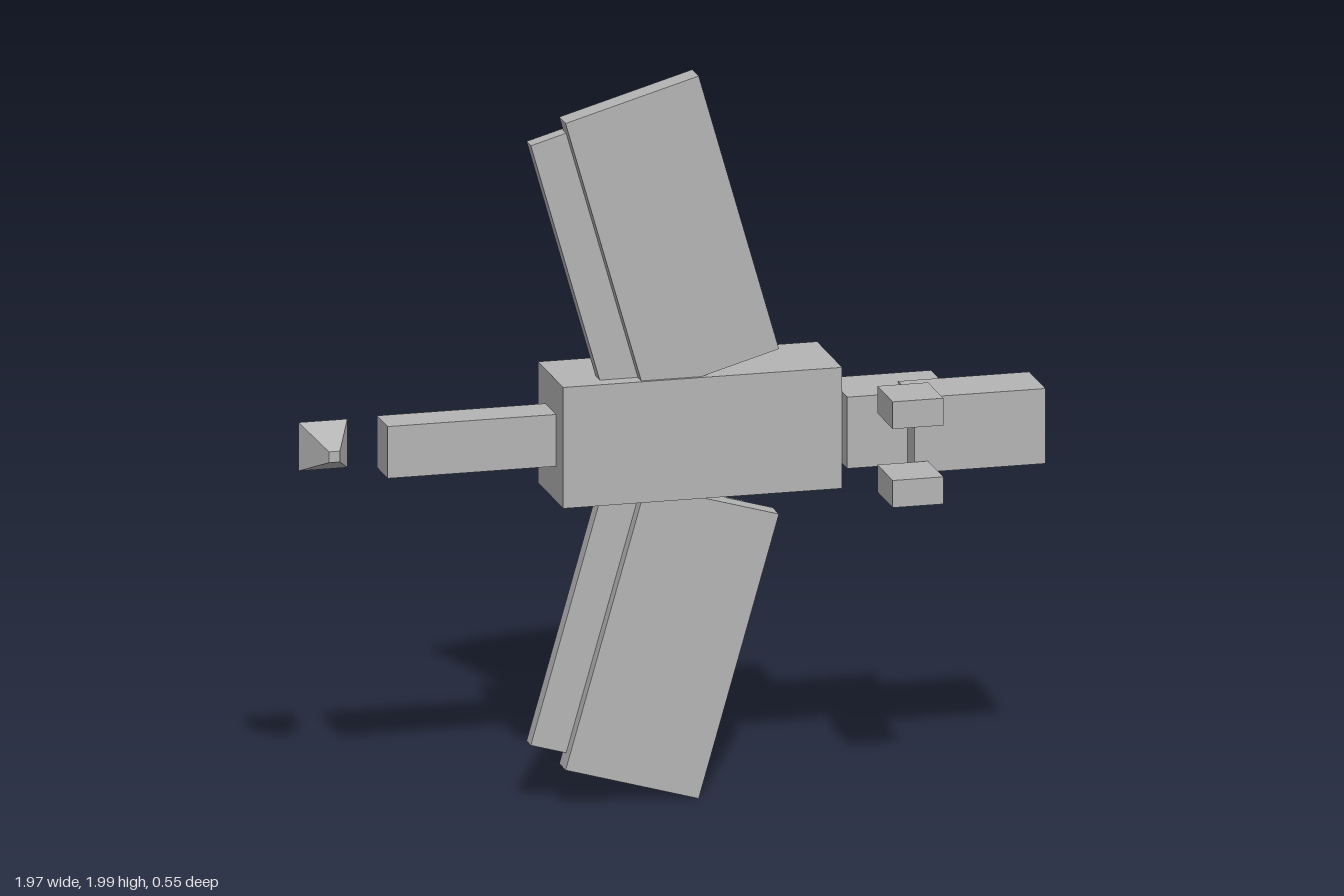
import * as THREE from 'three';

export function createModel() {
  const model = new THREE.Group();
  const grey = new THREE.MeshStandardMaterial({ color: 0xb4b4b4 });
  grey.name = 'plain grey';

  const add = (name, geometry, x, y, z) => {
    const mesh = new THREE.Mesh(geometry, grey);
    mesh.name = name;
    mesh.position.set(x, y, z);
    model.add(mesh);
    return mesh;
  };

  // Box given by its extents along each axis
  const block = (name, [x0, x1], [y0, y1], [z0, z1]) =>
    add(name, new THREE.BoxGeometry(x1 - x0, y1 - y0, z1 - z0),
      (x0 + x1) / 2, (y0 + y1) / 2, (z0 + z1) / 2);

  // Body, from tail to head along x
  block('tail', [-0.772, -0.31], [0.932, 1.075], [-0.2, -0.09]);
  block('body', [-0.31, 0.456], [0.836, 1.17], [-0.275, -0.015]);
  block('neck', [0.456, 0.738], [0.905, 1.102], [-0.16, 0.037]);
  block('head', [0.622, 0.982], [0.9, 1.107], [-0.062, 0.107]);

  // Tapered tail tip, narrow end to the front
  const tip = new THREE.CylinderGeometry(0.015 * Math.SQRT2, 0.067 * Math.SQRT2, 0.12, 4, 1)
    .rotateY(Math.PI / 4).rotateX(Math.PI / 2).toNonIndexed();
  tip.computeVertexNormals();
  add('tailTip', tip, -0.918, 1.002, -0.15);

  // Claws and swept wings, mirrored about y = 1.003
  const middle = 1.003;
  for (const [side, s] of [['upper', 1], ['lower', -1]]) {
    const claw = [middle + s * 0.071, middle + s * 0.146].sort((a, b) => a - b);
    block(side + 'Claw', [0.519, 0.658], claw, [0.113, 0.272]);

    const sweep = s * 0.279;
    add(side + 'FrontWing', new THREE.BoxGeometry(0.38, 0.8, 0.066),
      -0.008, middle + s * 0.56, -0.057).rotation.z = sweep;
    add(side + 'BackWing', new THREE.BoxGeometry(0.4, 0.76, 0.045),
      -0.09, middle + s * 0.517, -0.082).rotation.z = sweep;
  }
  return model;
}
